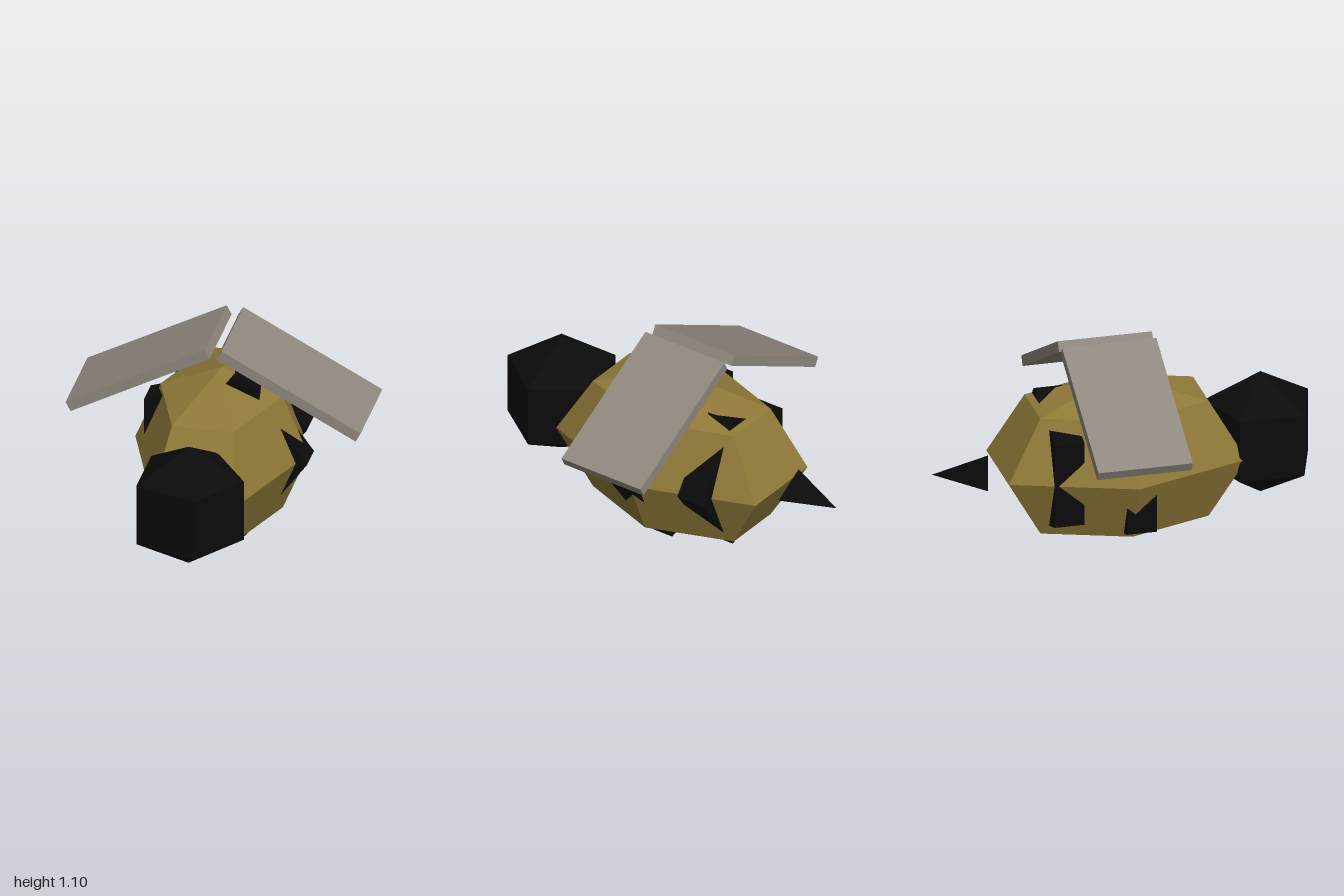
import * as THREE from 'three';

export function createModel() {
  const model = new THREE.Group();
  model.name = 'bee';

  const mat = (name, color) => {
    const m = new THREE.MeshStandardMaterial({ color, flatShading: true });
    m.name = name;
    return m;
  };
  const gold = mat('gold', 0x8f7938);
  const black = mat('black', 0x0b0b0b);
  const grey = mat('wing grey', 0x8f887e);

  const add = (name, geometry, material, x, y, z) => {
    const mesh = new THREE.Mesh(geometry, material);
    mesh.name = name;
    mesh.position.set(x, y, z);
    model.add(mesh);
    return mesh;
  };

  // Six-sided body, stretched front to back
  add('body', new THREE.SphereGeometry(0.45, 6, 4).scale(1, 1, 1.603), gold, 0, 0.455, -0.03);

  // Five-sided head with one corner towards +x
  add('head', new THREE.SphereGeometry(0.333, 5, 3).rotateY(Math.PI), black, 0, 0.502, 0.725);

  // Pentagonal stripe discs whose corners poke out of the body
  const stripe = (name, radius, z) => add(name,
    new THREE.CylinderGeometry(radius, radius, 0.155, 5).rotateX(Math.PI / 2).rotateZ(Math.PI / 2),
    black, 0, 0.455, z);
  stripe('middleStripe', 0.47, 0.003);
  stripe('rearStripe', 0.385, -0.358);

  // Three-sided stinger pointing backwards
  add('stinger',
    new THREE.ConeGeometry(0.115, 0.28, 3).rotateX(-Math.PI / 2).rotateZ(-Math.PI / 2),
    black, 0, 0.455, -0.86);

  // Sloping slab wings, mirrored
  for (const side of [1, -1]) {
    const wing = add(side > 0 ? 'leftWing' : 'rightWing',
      new THREE.BoxGeometry(0.822, 0.055, 0.495), grey, side * 0.3925, 0.883, -0.08);
    wing.rotation.z = -side * 0.49;
  }

  return model;
}
